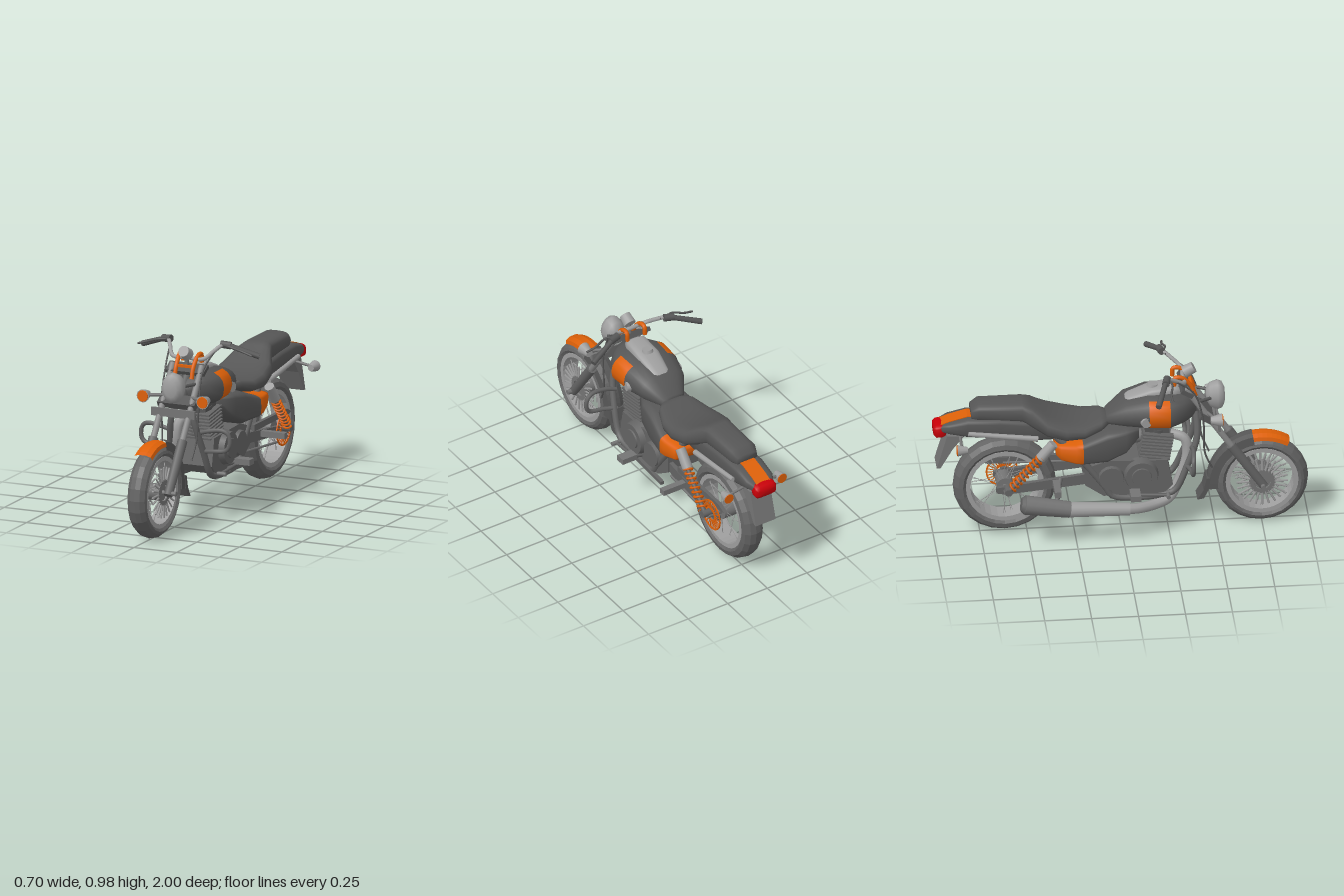
import * as THREE from 'three';

const V = (x, y, z) => new THREE.Vector3(x, y, z);
const paint = (name, color) => {
  const m = new THREE.MeshStandardMaterial({ color });
  m.name = name;
  return m;
};

export function createModel() {
  const root = new THREE.Group();
  root.name = 'motorcycle';
  const dark = paint('dark grey', 0x565656);
  const iron = paint('iron grey', 0x646464);
  const grey = paint('mid grey', 0x747474);
  const steel = paint('steel grey', 0x888888);
  const light = paint('light grey', 0x9e9e9e);
  const orange = paint('orange', 0xdd6008);
  const red = paint('red', 0xc80008);

  const add = (name, geo, mat, p = [0, 0, 0], r = [0, 0, 0]) => {
    const m = new THREE.Mesh(geo, mat);
    m.name = name;
    m.position.set(...p);
    m.rotation.set(...r);
    root.add(m);
    return m;
  };
  const box = (name, size, p, mat, r) => add(name, new THREE.BoxGeometry(...size), mat, p, r);
  // turn a y-aligned mesh along a -> b
  const align = (mesh, a, b) => {
    mesh.position.copy(a).add(b).multiplyScalar(0.5);
    mesh.quaternion.setFromUnitVectors(V(0, 1, 0), b.clone().sub(a).normalize());
    return mesh;
  };
  const rod = (name, a, b, ra, rb, mat, sides = 12) => {
    const A = V(...a), B = V(...b);
    return align(add(name, new THREE.CylinderGeometry(rb, ra, A.distanceTo(B), sides), mat), A, B);
  };
  const tube = (name, pts, r, mat, seg = 28) => add(name,
    new THREE.TubeGeometry(new THREE.CatmullRomCurve3(pts.map(p => V(...p)), false, 'centripetal'), seg, r, 8), mat);
  const both = fn => [1, -1].forEach(fn);
  // side profile given as [z, y], extruded across the width
  const slab = (name, pts, width, x, mat) => {
    const g = new THREE.ExtrudeGeometry(new THREE.Shape(pts.map(p => new THREE.Vector2(...p))), { depth: width, bevelEnabled: false });
    g.translate(0, 0, -width / 2).rotateY(-Math.PI / 2);
    return add(name, g, mat, [x, 0, 0]);
  };
  // rows run front to back: [z, bottom, top, half width]; pick(segment, slope) chooses the material,
  // slope being 0 on the flanks and 1 on the top and bottom
  const body = (name, rows, mats, pick = () => 0, p = 0.8, N = 20) => {
    const end = r => [r[0], (r[1] + r[2]) / 2, (r[1] + r[2]) / 2, 0];
    const all = [end(rows[0]), ...rows, end(rows[rows.length - 1])];
    const pos = [], idx = mats.map(() => []), g = new THREE.BufferGeometry();
    const pw = v => Math.sign(v) * Math.abs(v) ** p;
    all.forEach(([z, b, t, w]) => {
      for (let j = 0; j < N; j++) {
        const a = j / N * Math.PI * 2;
        pos.push(w * pw(Math.cos(a)), (b + t) / 2 + (t - b) / 2 * pw(Math.sin(a)), z);
      }
    });
    for (let i = 0; i < all.length - 1; i++) for (let j = 0; j < N; j++) {
      const a = i * N + j, b = i * N + (j + 1) % N;
      idx[pick(i, Math.abs(Math.sin((j + 0.5) / N * Math.PI * 2)))].push(a, a + N, b, b, a + N, b + N);
    }
    g.setAttribute('position', new THREE.Float32BufferAttribute(pos, 3));
    g.setIndex(idx.flat());
    let start = 0;
    idx.forEach((list, m) => { g.addGroup(start, list.length, m); start += list.length; });
    g.computeVertexNormals();
    return add(name, g, mats);
  };
  // faceted profile [r, x] turned about the wheel axle
  const turned = (name, pts, mat, p, seg = 32, from = 0, sweep = Math.PI * 2) => {
    const g = new THREE.LatheGeometry(pts.map(q => new THREE.Vector2(...q)), seg, from, sweep).rotateZ(Math.PI / 2).toNonIndexed();
    g.computeVertexNormals();
    return add(name, g, mat, p);
  };
  const ring = (r0, r1, t) => [[r0, -t], [r1, -t], [r1, t], [r0, t], [r0, -t]];
  // straight bars fanned around an axle
  const fan = (name, n, x, y, z, r0, r1, thick, mat) => {
    for (let i = 0; i < n; i++) {
      const c = Math.cos(i / n * Math.PI * 2), s = Math.sin(i / n * Math.PI * 2);
      rod(name, [x, y + r0 * s, z + r0 * c], [x, y + r1 * s, z + r1 * c], thick, thick, mat, 4);
    }
  };

  // wheels
  const wheel = (name, y, z, R, w, rim, hub) => {
    const c = [0, y, z];
    turned(name + 'Tyre', [[rim, -w * 0.75], [rim + 0.02, -w], [R - 0.025, -w * 0.9], [R - 0.006, -w * 0.5], [R, 0],
      [R - 0.006, w * 0.5], [R - 0.025, w * 0.9], [rim + 0.02, w], [rim, w * 0.75], [rim, -w * 0.75]], iron, c, 24);
    turned(name + 'Rim', ring(rim - 0.02, rim + 0.004, w * 0.85), light, c);
    rod(name + 'Hub', [-0.05, y, z], [0.05, y, z], hub, hub, grey, 20);
    rod(name + 'Axle', [-0.13, y, z], [0.13, y, z], 0.013, 0.013, grey);
    for (let i = 0; i < 28; i++) {
      const a = i / 28 * Math.PI * 2, b = a + (i % 4 < 2 ? 0.25 : -0.25), s = i % 2 ? 0.035 : -0.035;
      rod(name + 'Spoke', [s, y + hub * Math.sin(a), z + hub * Math.cos(a)],
        [s * 0.3, y + (rim - 0.02) * Math.sin(b), z + (rim - 0.02) * Math.cos(b)], 0.0016, 0.0016, light, 4);
    }
  };
  wheel('front', 0.262, 0.75, 0.25, 0.056, 0.19, 0.045);
  wheel('rear', 0.305, -0.62, 0.275, 0.062, 0.205, 0.045);
  both(s => {
    turned('brakeDiscCarrier', ring(0.045, 0.07, 0.004), grey, [s * 0.056, 0.262, 0.75]);
    fan('brakeDiscBar', 24, s * 0.056, 0.262, 0.75, 0.065, 0.138, 0.006, light);
  });
  turned('sprocketRim', ring(0.08, 0.088, 0.003), orange, [0.108, 0.305, -0.62]);
  turned('sprocketCentre', ring(0.03, 0.042, 0.003), orange, [0.108, 0.305, -0.62]);
  fan('sprocketArm', 26, 0.108, 0.305, -0.62, 0.04, 0.082, 0.003, orange);

  // front mudguard with painted tip
  const guard = [[0.255, -0.052], [0.275, -0.047], [0.286, -0.02], [0.286, 0.02], [0.275, 0.047], [0.255, 0.052],
    [0.256, 0.045], [0.272, 0.018], [0.272, -0.018], [0.256, -0.045], [0.255, -0.052]];
  turned('frontMudguardTip', guard, orange, [0, 0.25, 0.75], 8, 1.02, 0.72);
  turned('frontMudguard', guard.map(([r, x]) => [r < 0.27 ? r - 0.02 : r + 0.006, x]), dark, [0, 0.25, 0.75], 14, 1.74, 1.5);
  slab('mudguardFlap', [[0.475, 0.29], [0.455, 0.29], [0.438, 0.22], [0.405, 0.165], [0.44, 0.172], [0.465, 0.22]], 0.1, 0, dark);

  // fork and steering
  both(s => {
    rod('forkTube', [s * 0.085, 0.865, 0.34], [s * 0.085, 0.48, 0.6], 0.017, 0.017, steel);
    rod('forkSlider', [s * 0.085, 0.51, 0.58], [s * 0.085, 0.25, 0.757], 0.027, 0.024, iron);
    tube('handlebar', [[0, 0.9, 0.33], [s * 0.09, 0.902, 0.33], [s * 0.13, 0.94, 0.28], [s * 0.16, 0.965, 0.24], [s * 0.2, 0.96, 0.22]], 0.011, light);
    rod('grip', [s * 0.19, 0.962, 0.222], [s * 0.342, 0.906, 0.17], 0.014, 0.016, dark);
    rod('switchBox', [s * 0.145, 0.968, 0.235], [s * 0.2, 0.962, 0.222], 0.02, 0.02, dark);
    tube('lever', [[s * 0.16, 0.965, 0.24], [s * 0.21, 0.962, 0.257], [s * 0.28, 0.94, 0.245], [s * 0.335, 0.925, 0.25]], 0.006, dark, 12);
    tube('orangeLoop', [[s * 0.05, 0.8, 0.395], [s * 0.05, 0.865, 0.37], [s * 0.054, 0.915, 0.32], [s * 0.055, 0.915, 0.285], [s * 0.055, 0.87, 0.28]], 0.012, orange);
    tube('cable', [[s * 0.14, 0.96, 0.25], [s * 0.11, 0.85, 0.38], [s * 0.11, 0.68, 0.43], [s * 0.1, 0.48, 0.44], [s * 0.09, 0.38, 0.48]], 0.005, dark);
    rod('headlightBracket', [s * 0.085, 0.78, 0.4], [s * 0.045, 0.78, 0.48], 0.009, 0.009, dark);
    // indicators
    rod('frontIndicatorStalk', [s * 0.08, 0.715, 0.45], [s * 0.17, 0.715, 0.495], 0.009, 0.009, grey);
    rod('frontIndicator', [s * 0.175, 0.715, 0.465], [s * 0.175, 0.715, 0.525], 0.02, 0.036, light);
    rod('frontIndicatorLens', [s * 0.175, 0.715, 0.524], [s * 0.175, 0.715, 0.53], 0.032, 0.03, orange);
    rod('rearIndicatorStalk', [s * 0.06, 0.62, -0.86], [s * 0.17, 0.6, -0.86], 0.008, 0.008, grey);
    rod('rearIndicator', [s * 0.168, 0.6, -0.885], [s * 0.168, 0.6, -0.83], 0.031, 0.018, light);
    rod('rearIndicatorLens', [s * 0.168, 0.6, -0.884], [s * 0.168, 0.6, -0.888], 0.029, 0.028, orange);
  });
  box('orangeLink', [0.1, 0.014, 0.014], [0, 0.862, 0.37], orange);
  box('upperYoke', [0.225, 0.022, 0.07], [0, 0.843, 0.345], dark, [0.55, 0, 0]);
  box('lowerYoke', [0.22, 0.035, 0.07], [0, 0.685, 0.45], dark, [0.55, 0, 0]);
  box('forkPlate', [0.255, 0.045, 0.012], [0, 0.638, 0.516], grey);
  rod('steeringHead', [0, 0.85, 0.31], [0, 0.66, 0.43], 0.03, 0.03, dark);
  rod('gauge', [0, 0.92, 0.34], [0, 0.948, 0.39], 0.034, 0.03, light, 16);
  rod('gaugeStem', [0, 0.84, 0.34], [0, 0.93, 0.355], 0.012, 0.012, grey);
  body('headlight', [[0.553, 0.73, 0.82, 0.035], [0.54, 0.7, 0.85, 0.056], [0.515, 0.69, 0.86, 0.063],
    [0.475, 0.71, 0.845, 0.054], [0.455, 0.75, 0.81, 0.03]], [light], undefined, 1, 12);

  // tank, with a painted band on each flank
  body('tank', [[0.4, 0.69, 0.76, 0.045], [0.375, 0.66, 0.795, 0.075], [0.33, 0.645, 0.815, 0.125], [0.253, 0.632, 0.828, 0.174],
    [0.14, 0.635, 0.825, 0.167], [0.02, 0.645, 0.79, 0.135], [-0.08, 0.65, 0.71, 0.07]], [dark, orange],
    (i, slope) => i === 4 && slope < 0.85 ? 1 : 0);
  body('tankConsole', [[0.32, 0.79, 0.84, 0.045], [0.28, 0.78, 0.868, 0.062], [0.16, 0.78, 0.85, 0.066],
    [0.04, 0.74, 0.805, 0.052], [-0.03, 0.69, 0.75, 0.03]], [light], undefined, 0.7);
  rod('fuelCap', [0, 0.845, 0.17], [0, 0.862, 0.173], 0.032, 0.028, light, 16);
  both(s => rod('tankSidePanel', [s * 0.13, 0.71, 0.118], [s * 0.166, 0.71, 0.125], 0.032, 0.028, light, 10));

  // seat
  body('seat', [[-0.07, 0.65, 0.69, 0.07], [-0.11, 0.63, 0.695, 0.11], [-0.2, 0.6, 0.68, 0.145], [-0.3, 0.595, 0.7, 0.157],
    [-0.4, 0.62, 0.735, 0.145], [-0.48, 0.66, 0.79, 0.105], [-0.53, 0.69, 0.805, 0.085], [-0.76, 0.71, 0.805, 0.08],
    [-0.8, 0.72, 0.775, 0.065]], [dark], undefined, 0.65);

  // tail
  body('rearMudguard', [[-0.36, 0.58, 0.68, 0.085], [-0.48, 0.58, 0.71, 0.093], [-0.65, 0.605, 0.73, 0.095],
    [-0.82, 0.62, 0.732, 0.092], [-0.92, 0.645, 0.705, 0.085], [-0.97, 0.655, 0.685, 0.06]], [dark], undefined, 0.5);
  slab('tailStripe', [[-0.79, 0.734], [-0.82, 0.735], [-0.92, 0.708], [-0.965, 0.69], [-0.965, 0.682], [-0.92, 0.701], [-0.82, 0.728], [-0.79, 0.728]], 0.085, 0, orange);
  body('tailLight', [[-0.935, 0.625, 0.69, 0.058], [-0.955, 0.615, 0.694, 0.066], [-0.985, 0.615, 0.688, 0.066], [-1.0, 0.63, 0.675, 0.055]], [red], undefined, 0.5);
  slab('plateHolder', [[-0.84, 0.625], [-0.93, 0.63], [-0.985, 0.437], [-0.965, 0.437], [-0.9, 0.55]], 0.125, 0, grey);
  both(s => rod('tailStrut', [s * 0.1, 0.61, -0.45], [s * 0.1, 0.66, -0.82], 0.016, 0.013, light, 8));

  // engine
  slab('crankcase', [[0.27, 0.3], [0.22, 0.25], [-0.1, 0.25], [-0.2, 0.32], [-0.2, 0.42], [-0.08, 0.46], [0.24, 0.45]], 0.22, 0, iron);
  both(s => {
    rod('engineCover', [s * 0.09, 0.37, 0.1], [s * 0.142, 0.37, 0.1], 0.098, 0.085, iron, 20);
    rod('engineCoverCap', [s * 0.13, 0.37, 0.1], [s * 0.15, 0.37, 0.1], 0.058, 0.052, iron, 16);
    rod('gearCover', [s * 0.09, 0.36, -0.06], [s * 0.13, 0.36, -0.06], 0.075, 0.065, iron, 16);
  });
  rod('cylinderBarrel', [0, 0.43, 0.17], [0, 0.61, 0.195], 0.07, 0.07, dark, 16);
  for (let i = 0; i < 8; i++) box('coolingFin', [0.19, 0.009, 0.165], [0, 0.455 + i * 0.019, 0.173 + i * 0.003], iron, [0.14, 0, 0]);
  box('cylinderHead', [0.13, 0.05, 0.13], [0, 0.615, 0.19], dark);
  rod('intake', [0, 0.55, 0.13], [0, 0.54, -0.02], 0.035, 0.045, grey);

  // side covers with painted rear ends
  body('sideCovers', [[0.09, 0.58, 0.64, 0.1], [0.02, 0.5, 0.65, 0.135], [-0.08, 0.455, 0.64, 0.15], [-0.212, 0.462, 0.592, 0.172],
    [-0.25, 0.468, 0.588, 0.172], [-0.33, 0.49, 0.582, 0.155], [-0.355, 0.52, 0.578, 0.145]], [dark, orange], i => i > 3 ? 1 : 0, 0.4);

  // frame, crash bars, foot rests, rear suspension
  both(s => {
    tube('frameCradle', [[s * 0.03, 0.7, 0.4], [s * 0.07, 0.56, 0.4], [s * 0.095, 0.4, 0.345], [s * 0.105, 0.27, 0.285], [s * 0.105, 0.245, 0.24],
      [s * 0.105, 0.245, -0.05], [s * 0.105, 0.3, -0.09], [s * 0.105, 0.5, -0.24], [s * 0.09, 0.62, -0.36]], 0.018, iron, 56);
    tube('crashBar', [[s * 0.07, 0.5, 0.37], [s * 0.13, 0.52, 0.375], [s * 0.22, 0.53, 0.37], [s * 0.252, 0.51, 0.365],
      [s * 0.26, 0.46, 0.365], [s * 0.24, 0.425, 0.365], [s * 0.16, 0.41, 0.36], [s * 0.08, 0.4, 0.34]], 0.012, iron, 40);
    box('frontFootRest', [0.09, 0.032, 0.055], [s * 0.2, 0.295, 0.06], grey);
    rod('frontRestArm', [s * 0.08, 0.27, 0.06], [s * 0.17, 0.29, 0.06], 0.012, 0.012, iron);
    box('rearFootRest', [0.14, 0.032, 0.035], [s * 0.178, 0.345, -0.355], grey);
    rod('pedal', [s * 0.15, 0.27, 0.06], [s * 0.15, 0.26, 0.24], 0.009, 0.009, iron, 8);
    rod('pedalPad', [s * 0.13, 0.26, 0.24], [s * 0.18, 0.26, 0.24], 0.011, 0.011, grey, 8);
    slab('swingArm', [[-0.12, 0.39], [-0.12, 0.33], [-0.62, 0.28], [-0.67, 0.29], [-0.67, 0.32], [-0.6, 0.33]], 0.022, s * 0.09, iron);
    // shock absorber
    const a = V(s * 0.142, 0.55, -0.41), b = V(s * 0.142, 0.32, -0.61), L = a.distanceTo(b);
    rod('shockRod', b.toArray(), a.toArray(), 0.012, 0.012, iron);
    rod('shockShroud', [s * 0.142, 0.515, -0.44], [s * 0.142, 0.6, -0.37], 0.029, 0.027, light);
    rod('shockMount', [s * 0.09, 0.32, -0.61], [s * 0.16, 0.32, -0.61], 0.02, 0.02, iron);
    const coil = Array.from({ length: 81 }, (_, i) => V(0.023 * Math.cos(i * Math.PI / 4), (i / 80 - 0.5) * L * 0.86, 0.023 * Math.sin(i * Math.PI / 4)));
    align(add('shockSpring', new THREE.TubeGeometry(new THREE.CatmullRomCurve3(coil), 120, 0.006, 6), orange), b, a);
  });
  rod('backbone', [0, 0.72, 0.37], [0, 0.62, -0.3], 0.035, 0.035, dark);
  slab('chainGuard', [[-0.28, 0.405], [-0.28, 0.37], [-0.7, 0.37], [-0.73, 0.38], [-0.68, 0.405]], 0.02, 0.09, iron);
  both(s => rod('chain', [0.078, 0.32 + s * 0.045, -0.18], [0.078, 0.305 + s * 0.07, -0.62], 0.007, 0.007, grey, 6));
  slab('sideStand', [[0.08, 0.26], [0.08, 0.235], [-0.16, 0.22], [-0.16, 0.24]], 0.02, 0.12, iron);

  // exhaust on the right
  tube('exhaustPipe', [[-0.03, 0.57, 0.26], [-0.05, 0.545, 0.335], [-0.06, 0.46, 0.35], [-0.075, 0.3, 0.3], [-0.1, 0.22, 0.25], [-0.13, 0.2, 0.18],
    [-0.18, 0.205, 0.08], [-0.2, 0.215, 0]], 0.028, light, 44);
  rod('mufflerFront', [-0.2, 0.213, 0.03], [-0.213, 0.235, -0.3], 0.034, 0.042, light, 16);
  rod('mufflerBody', [-0.213, 0.235, -0.29], [-0.22, 0.28, -0.53], 0.044, 0.052, grey, 12);
  rod('mufflerTip', [-0.22, 0.28, -0.53], [-0.22, 0.283, -0.55], 0.052, 0.036, iron, 12);
  rod('mufflerBracket', [-0.21, 0.27, -0.36], [-0.1, 0.36, -0.33], 0.012, 0.012, iron);

  return root;
}
